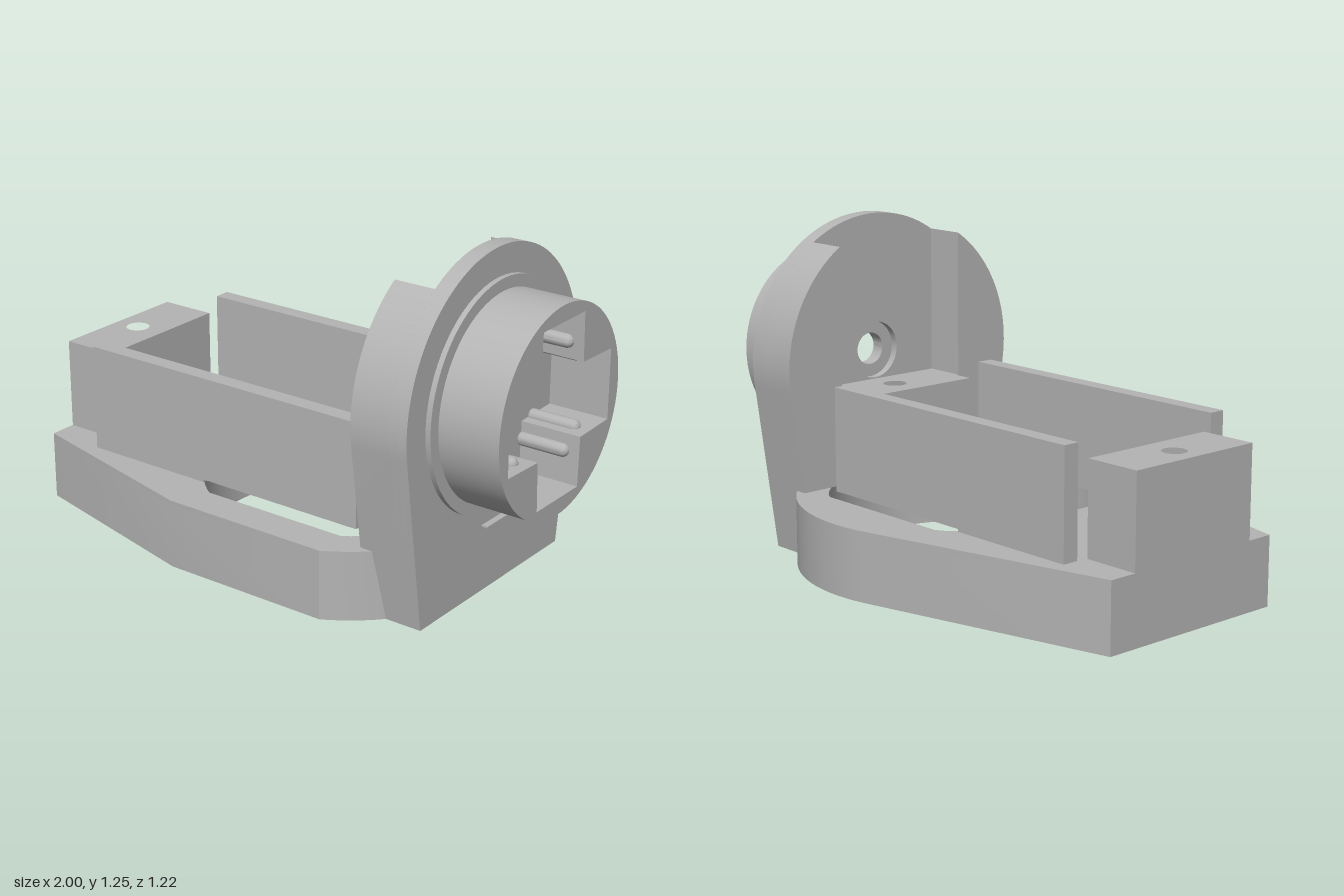
import * as THREE from 'three';
import { toCreasedNormals } from 'three/addons/utils/BufferGeometryUtils.js';

const ZC = 0.035;          // z of the bracket's main axis
const YC = 0.72;           // height of the hub axis
const DX = 0.12;           // x of the base disc centre
const rad = THREE.MathUtils.degToRad;

// points along an arc, angles in degrees
function arc(cx, cy, r, a0, a1, n = 32) {
  return Array.from({ length: n + 1 }, (_, i) => {
    const a = rad(a0 + (a1 - a0) * i / n);
    return [cx + r * Math.cos(a), cy + r * Math.sin(a)];
  });
}
const circle = (cx, cy, r, n = 64) => arc(cx, cy, r, 0, 360, n).slice(0, -1);

function extrude(outline, holes, depth) {
  const vec = (pts) => pts.map(([a, b]) => new THREE.Vector2(a, b));
  const shape = new THREE.Shape(vec(outline));
  for (const h of holes) shape.holes.push(new THREE.Path(vec(h)));
  return new THREE.ExtrudeGeometry(shape, { depth, bevelEnabled: false });
}

export function createModel() {
  const model = new THREE.Group();
  model.name = 'motorBracket';
  const grey = new THREE.MeshStandardMaterial({ color: 0xb4b4b4 });
  grey.name = 'plain grey';

  function add(name, geometry) {
    const mesh = new THREE.Mesh(toCreasedNormals(geometry, rad(25)), grey);
    mesh.name = name;
    model.add(mesh);
    return mesh;
  }
  // outline in (x, z), raised from y0 to y1
  function plan(name, outline, holes, y0, y1) {
    const flip = (pts) => pts.map(([x, z]) => [x, -z]);
    const g = extrude(flip(outline), holes.map(flip), y1 - y0);
    g.rotateX(-Math.PI / 2).translate(0, y0, 0);
    return add(name, g);
  }
  // outline in (offset from the axis, y), running from x0 to x1
  function side(name, outline, holes, x0, x1) {
    const g = extrude(outline, holes, x1 - x0);
    g.rotateY(Math.PI / 2).translate(x0, 0, ZC);
    return add(name, g);
  }
  function box(name, x0, x1, y0, y1, z0, z1) {
    const g = new THREE.BoxGeometry(x1 - x0, y1 - y0, z1 - z0);
    g.translate((x0 + x1) / 2, (y0 + y1) / 2, (z0 + z1) / 2);
    return add(name, g);
  }

  // base: wedge running into a disc, round opening with a thin rim on top
  const baseOutline = [
    [-1, 0.42], [-0.24, 0.61],
    ...arc(DX, ZC, 0.65, 62.2, 17.5, 16),
    ...arc(DX, ZC, 0.65, -17.5, -104, 28),
    [-1, -0.36],
  ];
  const opening = circle(DX, ZC, 0.53, 96);
  const rimOpening = opening.map(([x, z]) => [
    Math.max(x, -0.32), THREE.MathUtils.clamp(z, -0.4, 0.475),
  ]);
  plan('base', baseOutline, [opening], 0, 0.245);
  plan('baseRim', baseOutline, [rimOpening], 0.245, 0.26);
  box('baseSliver', 0.74, 0.77, 0.25, 0.256, -0.035, 0.105);

  // upright plate with stepped shaft hole
  const upright = [
    [-0.435, 0], [0.435, 0],
    ...arc(0, YC, 0.532, -8.9, 188.9, 64),
  ];
  side('uprightPlateInner', upright, [circle(0, YC, 0.11, 40)], 0.68, 0.71);
  side('uprightPlateOuter', upright, [circle(0, YC, 0.062, 40)], 0.71, 0.745);

  // cheeks either side of the pocket
  const cheek = [
    [0.29, 0.26], [0.472, 0.26],
    ...arc(0, YC, 0.532, -8.9, 57, 24),
  ];
  for (const s of [-1, 1]) {
    side('uprightCheek', cheek.map(([u, y]) => [s * u, y]), [], 0.52, 0.68);
  }

  // foot of the upright, hollowed by the base opening, sides leaning outward
  const foot = plan('uprightFoot', [
    [0.68, ZC - 0.435], [0.52, ZC - 0.435],
    ...arc(DX, ZC, 0.53, -41, 41, 32),
    [0.52, ZC + 0.435], [0.68, ZC + 0.435],
  ], [], 0, 0.26);
  const p = foot.geometry.attributes.position;
  for (let i = 0; i < p.count; i++) {
    const dz = p.getZ(i) - ZC;
    if (Math.abs(dz) > 0.43) p.setZ(i, p.getZ(i) + Math.sign(dz) * 0.142 * p.getY(i));
  }
  foot.geometry = toCreasedNormals(foot.geometry, rad(25));

  // screw blocks with blind holes
  const blocks = [
    ['rearBlock', [[-1, -0.25], [-0.78, -0.25], [-0.78, 0.315], [-1, 0.315]], -0.9],
    ['hubBlock', [[0.44, -0.25], [0.52, -0.25], [0.52, -0.255], [0.68, -0.255],
      [0.68, 0.325], [0.52, 0.325], [0.52, 0.315], [0.44, 0.315]], 0.56],
  ];
  for (const [name, outline, hx] of blocks) {
    plan(name + 'Bottom', outline, [], 0.26, 0.36);
    plan(name + 'Top', outline, [circle(hx, ZC, 0.045, 32)], 0.36, 0.605);
  }

  // side walls, slightly raised over the opening
  const wall = [[-0.775, 0.26], [-0.25, 0.26], [-0.25, 0.27], [0.435, 0.27], [0.435, 0.665], [-0.775, 0.665]];
  for (const z of [-0.355, 0.355]) {
    const g = extrude(wall, [], 0.063);
    g.translate(0, 0, z);
    add('sideWall', g);
  }

  // hub: collar, then a drum with a cross-shaped socket
  side('hubCollar', circle(0, YC, 0.425, 80), [circle(0, YC, 0.062, 40)], 0.745, 0.765);
  const cross = [];
  for (let i = 0; i < 4; i++) {
    const c = Math.round(Math.cos(i * Math.PI / 2)), s = Math.round(Math.sin(i * Math.PI / 2));
    for (const [a, b] of [[0.32, -0.131], [0.32, 0.131], [0.137, 0.137]]) {
      cross.push([a * c - b * s, YC + a * s + b * c]);
    }
  }
  side('hubDrum', circle(0, YC, 0.38, 80), [cross], 0.765, 1);

  // round-nosed grip ribs on the socket walls
  for (const a of [-1, 1]) for (const b of [-1, 1]) {
    for (const [u, v] of [[0.134, 0.2], [0.2, 0.134]]) {
      const g = new THREE.CapsuleGeometry(0.025, 0.16, 6, 16);
      g.rotateZ(Math.PI / 2).translate(0.855, YC + b * v, ZC + a * u);
      add('gripRib', g);
    }
  }
  return model;
}
